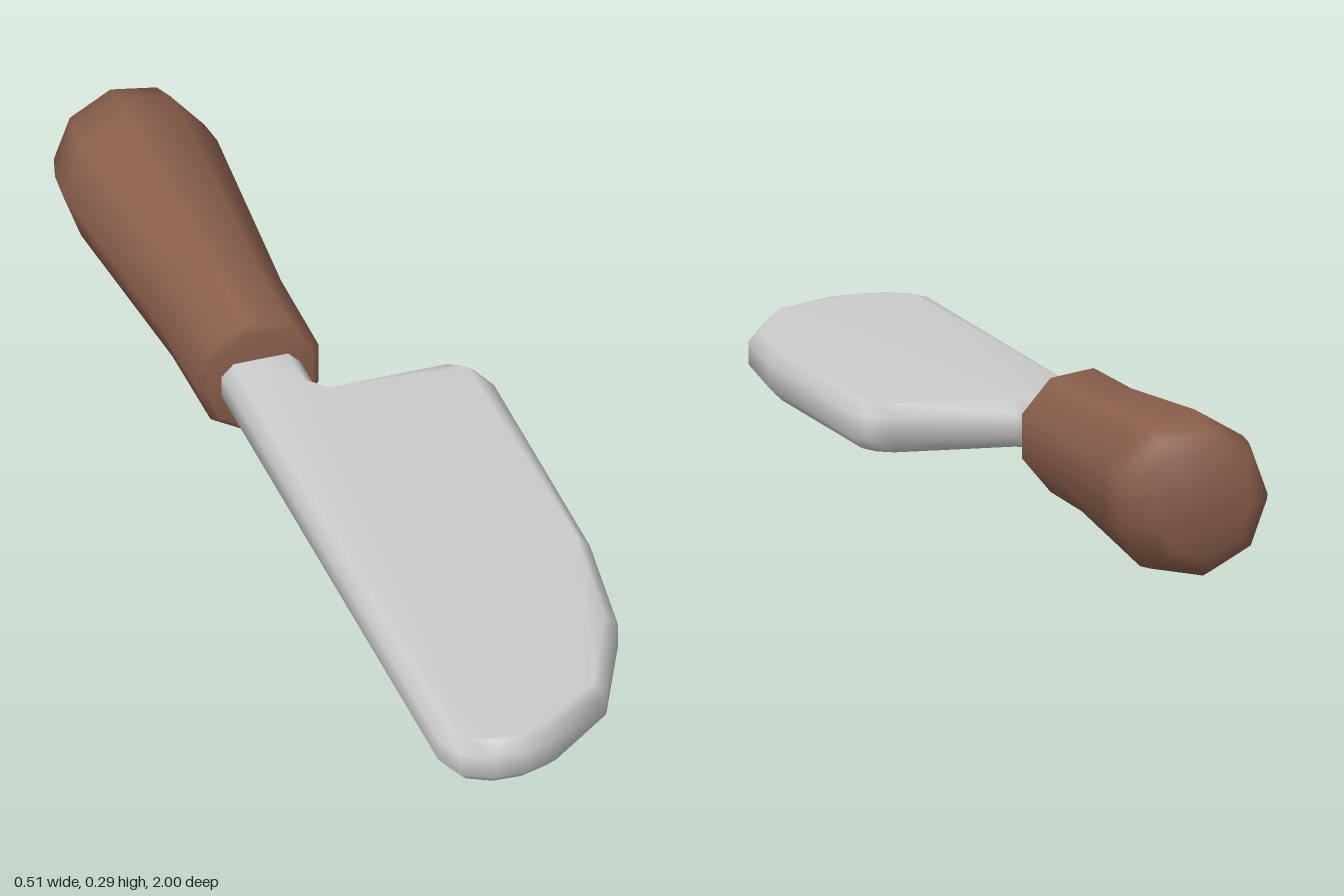
import * as THREE from 'three';
import { mergeVertices } from 'three/addons/utils/BufferGeometryUtils.js';

// Weld corners so normals blend, weighted by face area: broad faces stay flat, bevels look soft
function soften(geometry) {
  geometry.deleteAttribute('normal');
  geometry.deleteAttribute('uv');
  const welded = mergeVertices(geometry, 1e-4);
  welded.computeVertexNormals();
  return welded;
}

function part(name, geometry, color) {
  const mesh = new THREE.Mesh(soften(geometry), new THREE.MeshStandardMaterial({ color }));
  mesh.name = name;
  return mesh;
}

// Blade and tang: one chamfered plate, outline given as x, z
function createBlade() {
  const outline = [
    [-0.183, -0.3], [-0.04, -0.3], [-0.04, -0.162], [-0.018, -0.138],
    [0.195, -0.138], [0.235, -0.112], [0.253, -0.06], [0.253, 0.45],
    [0.222, 0.69], [0.135, 0.88], [0.01, 0.98], [-0.05, 1],
    [-0.11, 0.997], [-0.163, 0.97], [-0.183, 0.915],
  ].map(([x, z]) => new THREE.Vector2(x, z));
  const bevel = 0.022;
  const geometry = new THREE.ExtrudeGeometry(new THREE.Shape(outline), {
    depth: 0.041,
    bevelSize: bevel,
    bevelThickness: bevel,
    bevelOffset: -bevel,
    bevelSegments: 1,
  });
  geometry.rotateX(Math.PI / 2).translate(0, 0.165, 0);
  return part('blade', geometry, 0xcccccc);
}

// Handle: nine-sided turned grip, profile given as radius, z from butt to collar
function createHandle() {
  const profile = [
    [0, -1], [0.092, -1], [0.125, -0.975], [0.14, -0.925], [0.1455, -0.87],
    [0.116, -0.45], [0.115, -0.25], [0.1, -0.235], [0, -0.235],
  ].map(([r, z]) => new THREE.Vector2(r, z));
  const geometry = new THREE.LatheGeometry(profile, 9, -Math.PI / 2);
  geometry.rotateX(Math.PI / 2).translate(-0.11, 0.1435, 0);
  return part('handle', geometry, 0x8a5f4c);
}

export function createModel() {
  const knife = new THREE.Group();
  knife.name = 'knife';
  knife.add(createBlade(), createHandle());
  return knife;
}
